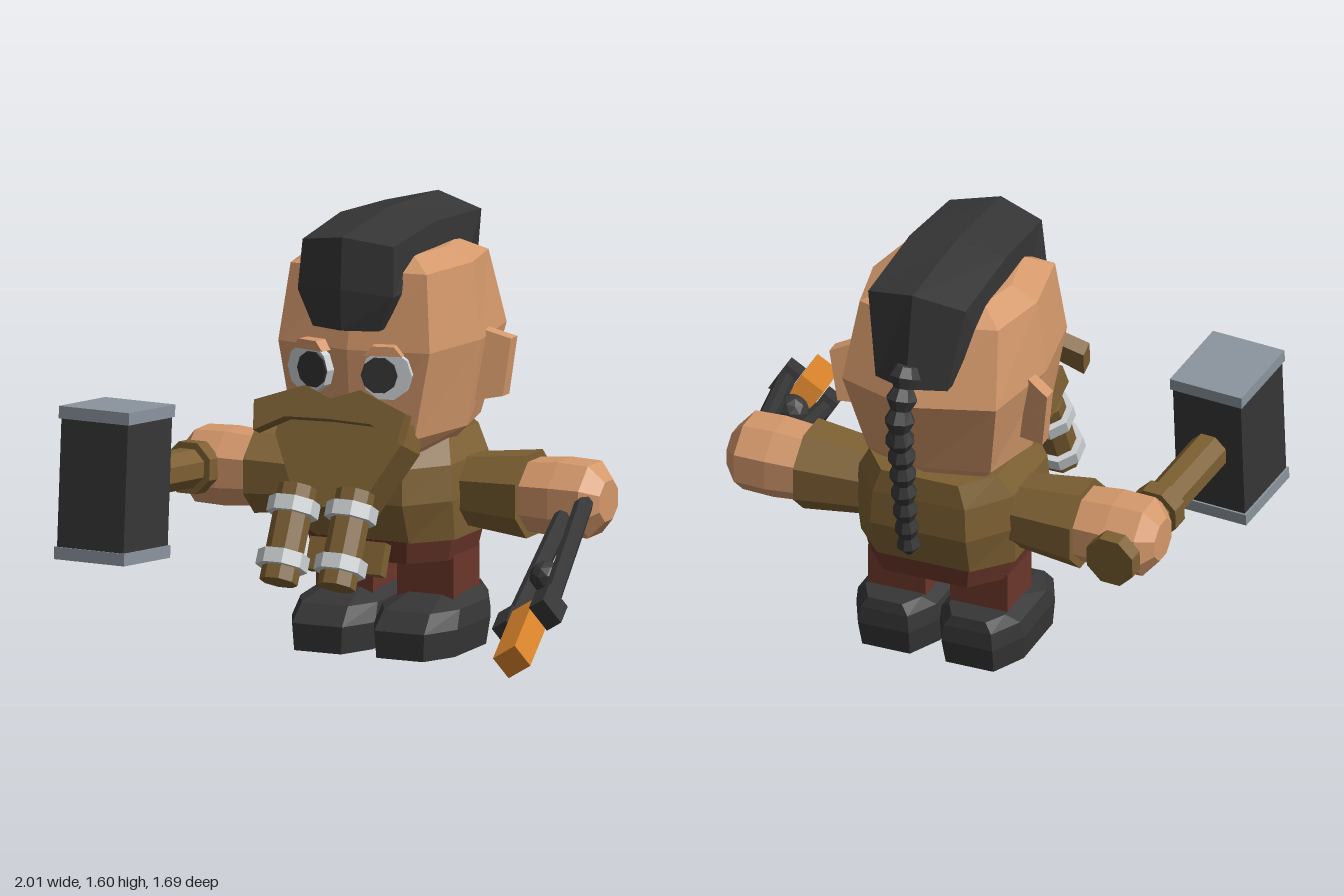
import * as THREE from 'three';

const mat = (name, hex) => {
  const m = new THREE.MeshStandardMaterial({ color: hex });
  m.name = name;
  return m;
};

// Faceted mesh with hard edges
function mesh(name, geometry, material, x = 0, y = 0, z = 0) {
  const g = geometry.index ? geometry.toNonIndexed() : geometry;
  g.computeVertexNormals();
  const m = new THREE.Mesh(g, material);
  m.name = name;
  m.position.set(x, y, z);
  return m;
}

// Closed skin through rings of equal point count, wound outwards
function loft(rings) {
  const n = rings[0].length, tris = [];
  for (let r = 0; r < rings.length - 1; r++) {
    for (let i = 0; i < n; i++) {
      const j = (i + 1) % n, a = rings[r], b = rings[r + 1];
      tris.push([a[i], a[j], b[j]], [a[i], b[j], b[i]]);
    }
  }
  const cap = (ring, flip) => {
    const c = [0, 1, 2].map(k => ring.reduce((s, p) => s + p[k], 0) / n);
    ring.forEach((p, i) => {
      const q = ring[(i + 1) % n];
      tris.push(flip ? [c, q, p] : [c, p, q]);
    });
  };
  cap(rings[0], true);
  cap(rings[rings.length - 1], false);
  const v = p => new THREE.Vector3(...p);
  const volume = tris.reduce((s, [a, b, c]) => s + v(a).dot(v(b).cross(v(c))), 0);
  if (volume < 0) tris.forEach(t => t.reverse());
  const g = new THREE.BufferGeometry();
  g.setAttribute('position', new THREE.Float32BufferAttribute(tris.flat(2), 3));
  return g;
}

// Chamfered horizontal ring: half width, front z, back z
function octRing(y, hw, zf, zb, c = 0.6) {
  const d = zf - zb, e = 0.25;
  return [[hw * c, y, zf], [hw, y, zf - d * e], [hw, y, zb + d * e], [hw * c, y, zb],
    [-hw * c, y, zb], [-hw, y, zb + d * e], [-hw, y, zf - d * e], [-hw * c, y, zf]];
}

// Symmetric plate from half an outline, centred in depth
function plate(half, depth) {
  const pts = [...half, ...half.slice().reverse().filter(p => p[0] > 0).map(p => [-p[0], p[1]])];
  const shape = new THREE.Shape(pts.map(p => new THREE.Vector2(...p)));
  return new THREE.ExtrudeGeometry(shape, { depth, bevelEnabled: false }).translate(0, 0, -depth / 2);
}

const box = (w, h, d) => new THREE.BoxGeometry(w, h, d);
const cyl = (r1, r2, h, n = 8) => new THREE.CylinderGeometry(r1, r2, h, n).rotateY(Math.PI / n);

export function createModel() {
  const skin = mat('skin', 0xd4986b), brown = mat('brown', 0x7d6033), dark = mat('charcoal', 0x363636);
  const red = mat('red brown', 0x6b372b), steel = mat('steel', 0x8b949e), silver = mat('silver', 0xcdd2d4);
  const orange = mat('hot orange', 0xd9832b);
  const model = new THREE.Group();
  model.name = 'dwarfSmith';
  const body = new THREE.Group();
  body.name = 'body';
  body.position.x = -0.05;
  model.add(body);

  // Head: front centre, front corner, side, back corner, back centre
  const headRing = (y, f, zf, zfc, h, b, zbc, zb) => {
    const half = [[f, y, zfc], [h, y, -0.28], [b, y, zbc]];
    return [[0, y, zf], ...half, [0, y, zb], ...half.slice().reverse().map(([x, yy, z]) => [-x, yy, z])];
  };
  body.add(mesh('head', loft([
    headRing(0.75, 0.19, 0.04, 0.02, 0.23, 0.18, -0.48, -0.53),
    headRing(0.82, 0.24, 0.07, 0.04, 0.30, 0.24, -0.52, -0.58),
    headRing(1.14, 0.30, 0.10, 0.04, 0.355, 0.30, -0.61, -0.71),
    headRing(1.42, 0.27, 0.03, 0.0, 0.32, 0.27, -0.52, -0.60),
    headRing(1.47, 0.18, -0.06, -0.08, 0.22, 0.18, -0.44, -0.48),
  ]), skin));

  // Mohawk: ridge z,y / edge z,y / inner z,y / half width
  const hair = [
    [0.15, 1.22, 0.11, 1.22, 0.05, 1.22, 0.13], [0.155, 1.37, 0.11, 1.35, 0.04, 1.35, 0.19],
    [0.14, 1.56, 0.09, 1.53, 0.0, 1.41, 0.18], [-0.25, 1.60, -0.25, 1.565, -0.25, 1.44, 0.19],
    [-0.67, 1.585, -0.63, 1.54, -0.52, 1.39, 0.19], [-0.735, 1.23, -0.68, 1.225, -0.60, 1.22, 0.14],
  ];
  body.add(mesh('mohawk', loft(hair.map(([rz, ry, ez, ey, iz, iy, w]) =>
    [[0, ry, rz], [w, ey, ez], [w, iy, iz], [-w, iy, iz], [-w, ey, ez]])), dark));

  // Braid hanging behind the head
  const path = new THREE.CatmullRomCurve3([[1.32, -0.72], [1.2, -0.77], [1.1, -0.79], [0.95, -0.765],
    [0.75, -0.74], [0.53, -0.70]].map(([y, z]) => new THREE.Vector3(0, y, z)));
  const braid = [];
  for (let i = 0; i <= 20; i++) {
    const p = path.getPointAt(i / 20), t = path.getTangentAt(i / 20);
    const r = i === 20 ? 0.012 : (i % 2 ? 0.062 : 0.04) * (1 - 0.3 * i / 20);
    braid.push(Array.from({ length: 8 }, (_, k) => {
      const a = k * Math.PI / 4;
      return [r * Math.cos(a), p.y + r * Math.sin(a) * t.z, p.z - r * Math.sin(a) * t.y];
    }));
  }
  body.add(mesh('hairBraid', loft(braid), dark));

  // Moustache and beard slope forward towards the bottom
  const moustache = mesh('moustache', plate([[0, 0.05], [0.11, 0.09], [0.30, 0.02], [0.285, -0.09],
    [0.17, -0.03], [0, -0.025]], 0.06), brown, 0, 0.93, 0.225);
  moustache.rotation.x = -0.37;
  const beard = mesh('beard', plate([[0.24, 0.17], [0.25, 0.08], [0.12, -0.17]], 0.17), brown, 0, 0.72, 0.125);
  beard.rotation.x = -0.39;
  body.add(moustache, beard);

  // Torso, hips and front flap with buckle
  body.add(mesh('torso', loft([octRing(0.42, 0.30, -0.04, -0.57), octRing(0.57, 0.31, 0.03, -0.62),
    octRing(0.70, 0.30, 0.02, -0.615), octRing(0.79, 0.25, -0.10, -0.605)]), brown));
  body.add(mesh('hips', loft([octRing(0.34, 0.27, -0.06, -0.55), octRing(0.425, 0.29, -0.035, -0.568)]), red));
  const flap = mesh('tunicFlap', box(0.30, 0.12, 0.05), brown, 0, 0.38, 0.09);
  const buckle = mesh('buckle', box(0.12, 0.17, 0.05), dark, 0, 0.45, 0.10);
  flap.rotation.x = buckle.rotation.x = -0.4;
  body.add(flap, buckle);

  for (const s of [1, -1]) {
    const side = s > 0 ? 'left' : 'right';

    // Eye, pupil and brow
    const eye = new THREE.Group();
    eye.name = side + 'Eye';
    eye.position.set(s * 0.15, 1.06, 0.075);
    eye.rotation.y = s * 0.25;
    const disc = (r, d) => cyl(r, r, d, 10).rotateX(Math.PI / 2);
    eye.add(mesh('eyeWhite', disc(0.093, 0.05), silver));
    eye.add(mesh('pupil', disc(0.067, 0.009), dark, -s * 0.025, 0, 0.029));
    const brow = new THREE.Shape([[-0.07, 0], [0.07, 0], [0.04, 0.035], [-0.04, 0.035]].map(p => new THREE.Vector2(...p)));
    eye.add(mesh('brow', new THREE.ExtrudeGeometry(brow, { depth: 0.07, bevelEnabled: false }), skin, -s * 0.01, 0.072, -0.03));
    body.add(eye);

    // Ear
    const ear = [[0.29, 1.18, -0.34], [0.425, 1.13, -0.40], [0.40, 0.92, -0.385], [0.28, 0.90, -0.33]];
    body.add(mesh(side + 'Ear', loft([0.02, -0.035].map(o => ear.map(([x, y, z]) => [s * x, y, z + o]))), skin));

    // Sleeve and fist along x
    const armRing = (x, r) => Array.from({ length: 8 }, (_, k) => {
      const a = (k + 0.5) * Math.PI / 4;
      return [s * x, 0.58 + r * 0.92 * Math.sin(a), -0.335 + r * Math.cos(a)];
    });
    body.add(mesh(side + 'Sleeve', loft([armRing(0.2, 0.135), armRing(0.54, 0.178)]), brown));
    body.add(mesh(side + 'Fist', loft([armRing(0.5, 0.145), armRing(0.66, 0.16), armRing(0.78, 0.155),
      armRing(0.835, 0.085)]), skin));

    // Leg and boot
    body.add(mesh(side + 'Leg', box(0.225, 0.2, 0.22), red, s * 0.16, 0.26, -0.33));
    body.add(mesh(side + 'Boot', loft([octRing(0, 0.155, 0, -0.53), octRing(0.1, 0.165, 0.005, -0.555),
      octRing(0.165, 0.153, -0.06, -0.55), octRing(0.205, 0.11, -0.22, -0.54)]), dark, s * 0.163));

    // Beard braid with two rings
    const lock = new THREE.Group();
    lock.name = side + 'BeardBraid';
    lock.position.set(s * 0.115, 0.5, 0.35);
    lock.rotation.x = -0.47;
    lock.add(mesh('strand', cyl(0.07, 0.07, 0.36), brown));
    for (const y of [0.1, -0.1]) lock.add(mesh('beardRing', cyl(0.095, 0.095, 0.055), silver, 0, y));
    body.add(lock);
  }

  // Hammer held in the right hand, handle along local z
  const hammer = new THREE.Group();
  hammer.name = 'hammer';
  hammer.position.set(-0.78, 0.585, -0.32);
  hammer.rotation.set(-0.08, -0.08, 0);
  const rod = (r, len) => cyl(r, r, len).rotateX(Math.PI / 2);
  hammer.add(mesh('handle', rod(0.075, 0.78), brown, 0, 0, 0.18));
  hammer.add(mesh('pommel', rod(0.1, 0.06), brown, 0, 0, -0.19));
  hammer.add(mesh('collar', rod(0.1, 0.07), brown, 0, 0, 0.15));
  hammer.add(mesh('hammerCore', box(0.275, 0.48, 0.32), dark, 0, 0, 0.71));
  for (const s of [1, -1]) hammer.add(mesh('hammerFace', box(0.29, 0.045, 0.335), steel, 0, s * 0.255, 0.71));
  model.add(hammer);

  // Tongs in the left hand gripping a hot bar, along local z
  const tongs = new THREE.Group();
  tongs.name = 'tongs';
  const zAxis = new THREE.Vector3(0.17, -0.235, 0.72).normalize();
  const yAxis = new THREE.Vector3().crossVectors(zAxis, new THREE.Vector3(0.83, 0.5, 0)).normalize();
  const xAxis = new THREE.Vector3().crossVectors(yAxis, zAxis);
  tongs.quaternion.setFromRotationMatrix(new THREE.Matrix4().makeBasis(xAxis, yAxis, zAxis));
  tongs.position.set(0.70, 0.56, -0.22);
  for (const s of [1, -1]) {
    const arm = mesh('tongArm', rod(0.035, 0.78), dark, s * 0.065, 0, 0.385);
    arm.rotation.y = s * 0.052;
    tongs.add(arm, mesh('jaw', box(0.065, 0.11, 0.12), dark, s * 0.085, 0, 0.80));
  }
  tongs.add(mesh('pivot', new THREE.IcosahedronGeometry(0.062, 1), dark, 0, 0, 0.5));
  tongs.add(mesh('hotBar', box(0.1, 0.095, 0.35), orange, 0, 0, 0.955));
  model.add(tongs);

  return model;
}
